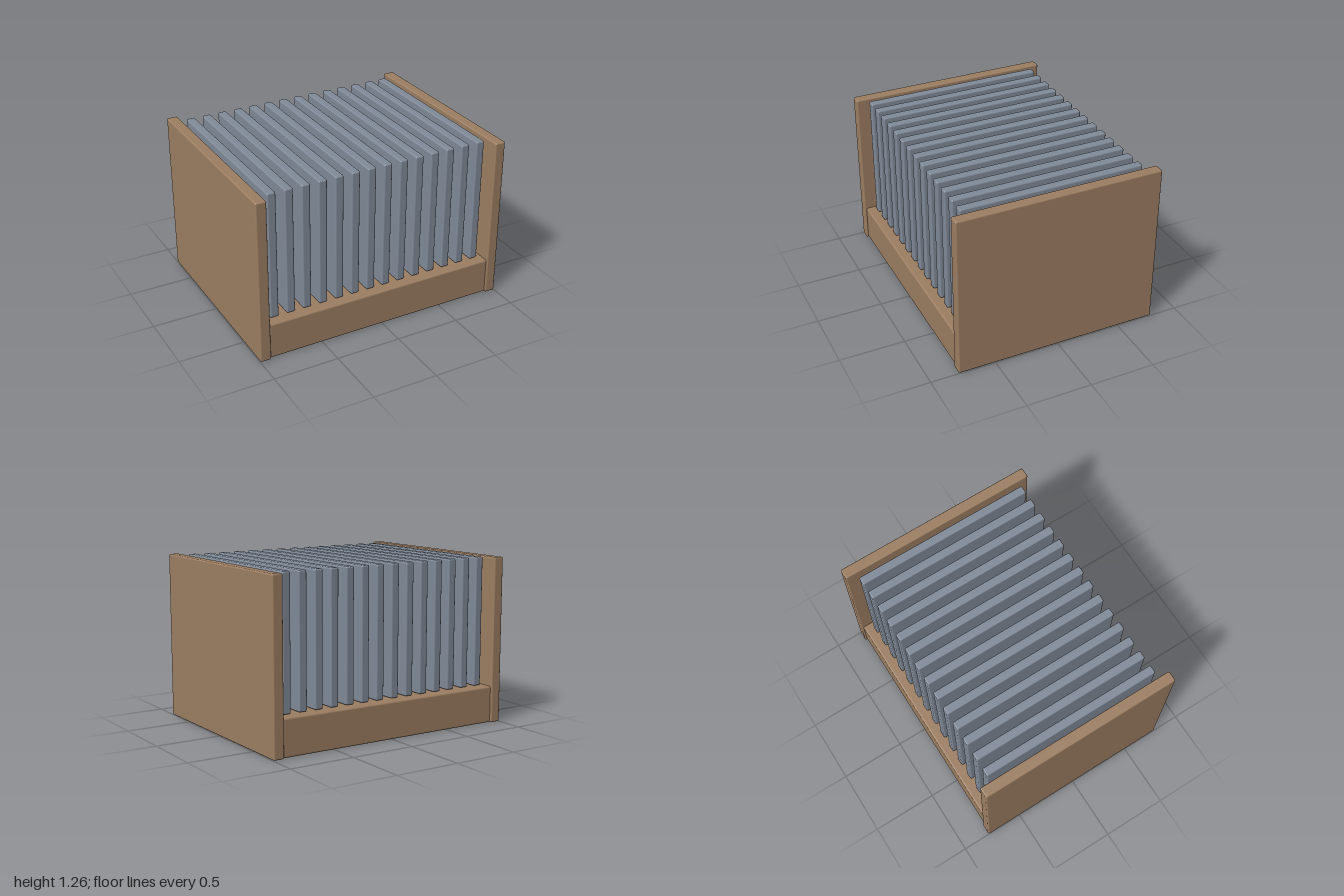
import * as THREE from 'three';
import { RoundedBoxGeometry } from 'three/addons/geometries/RoundedBoxGeometry.js';

export function createModel() {
  const model = new THREE.Group();
  model.name = 'slatRack';

  const wood = new THREE.MeshStandardMaterial({ color: 0x9c7e62 });
  wood.name = 'wood';
  const slate = new THREE.MeshStandardMaterial({ color: 0x808a98 });
  slate.name = 'slate grey';

  // Softly bevelled block standing on height y
  const block = (name, material, [w, h, d], x, y, bevel) => {
    const mesh = new THREE.Mesh(new RoundedBoxGeometry(w, h, d, 2, bevel), material);
    mesh.name = name;
    mesh.position.set(x, y + h / 2, 0);
    model.add(mesh);
  };

  const height = 1.265;
  const baseHeight = 0.28;
  const panelWidth = 0.083;

  // Base between the two side panels
  block('base', wood, [2 - 2 * panelWidth + 0.04, baseHeight, 1.54], 0, 0, 0.015);

  // Side panels
  block('leftPanel', wood, [panelWidth, height, 1.572], 1 - panelWidth / 2, 0, 0.012);
  block('rightPanel', wood, [panelWidth, height, 1.572], panelWidth / 2 - 1, 0, 0.012);

  // Row of upright slats on the base
  const count = 14;
  const reach = 0.842;
  const slatBottom = baseHeight + 0.003;
  for (let i = 0; i < count; i++) {
    const x = -reach + (2 * reach * i) / (count - 1);
    block(`slat${i + 1}`, slate, [0.066, height - slatBottom, 1.402], x, slatBottom, 0.012);
  }

  return model;
}
